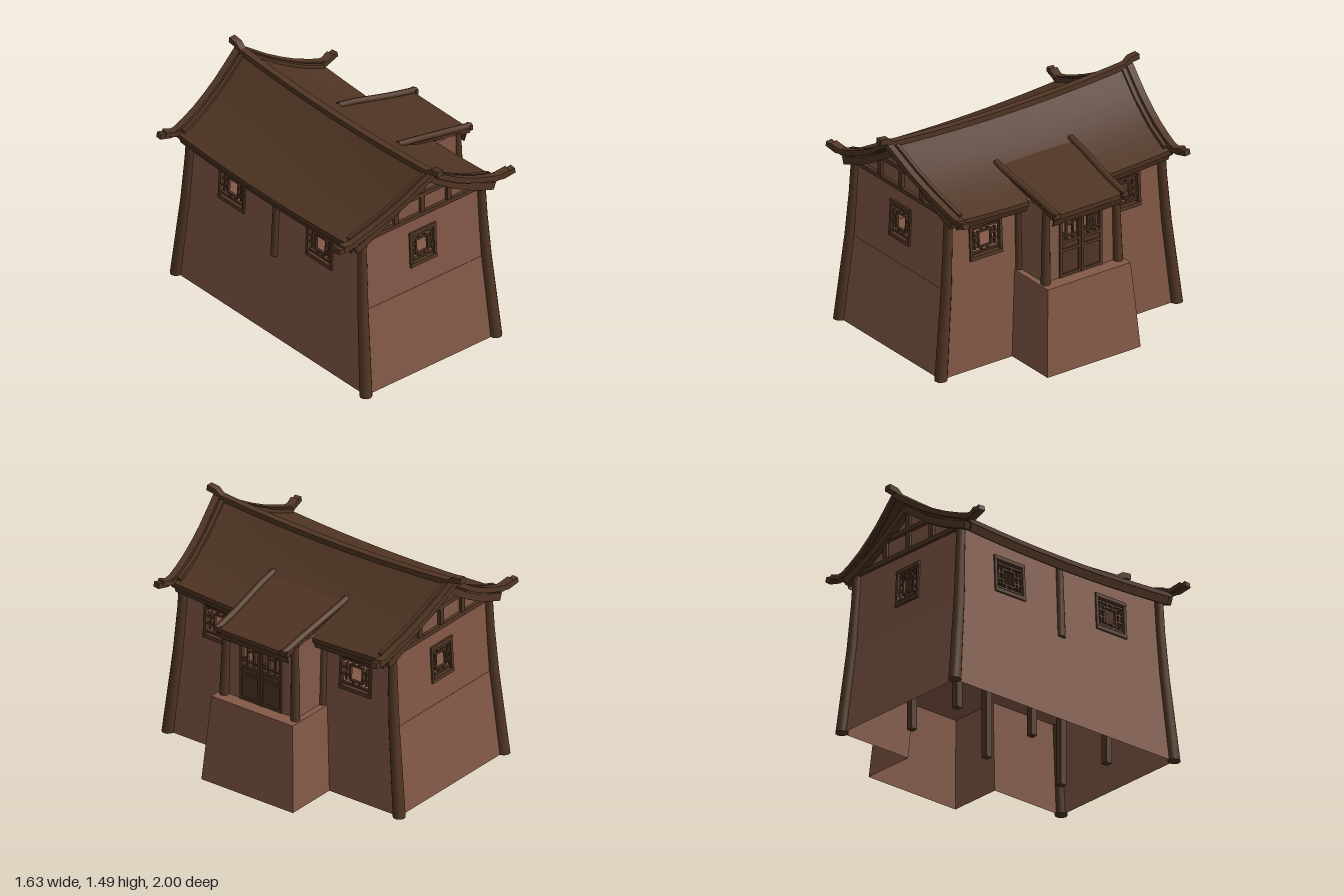
import * as THREE from 'three';
import { toCreasedNormals } from 'three/addons/utils/BufferGeometryUtils.js';

const CX = -0.09; // centre line of the main hall
const FLOOR = 0.58;
const V = (x, y, z) => new THREE.Vector3(x, y, z);

function material(name, color) {
  const m = new THREE.MeshStandardMaterial({ color, side: THREE.DoubleSide });
  m.name = name;
  return m;
}
const clay = material('clay wall', 0x835947);
const wood = material('dark timber', 0x513624);
const roofing = material('roof brown', 0x4f3423);

function add(parent, name, geo, mat, x = 0, y = 0, z = 0) {
  const mesh = new THREE.Mesh(geo, mat);
  mesh.name = name;
  mesh.position.set(x, y, z);
  parent.add(mesh);
  return mesh;
}
const box = (parent, name, w, h, d, x, y, z, mat = wood) =>
  add(parent, name, new THREE.BoxGeometry(w, h, d), mat, x, y, z);

// Joins equal-sized cross-sections; the ends are closed as strips
function loft(sections, caps = true) {
  const n = sections[0].length, last = (sections.length - 1) * n, idx = [];
  for (let s = 0; s < sections.length - 1; s++)
    for (let i = 0; i < n; i++) {
      const a = s * n + i, b = s * n + (i + 1) % n;
      idx.push(a, b, b + n, a, b + n, a + n);
    }
  if (caps)
    for (let i = 0; i < n / 2 - 1; i++) {
      const a = i, b = i + 1, c = n - 2 - i, d = n - 1 - i;
      idx.push(a, c, b, a, d, c, last + a, last + b, last + c, last + a, last + c, last + d);
    }
  const geo = new THREE.BufferGeometry().setFromPoints(sections.flat());
  geo.setIndex(idx);
  return toCreasedNormals(geo, 0.6);
}

// Rectangular beam along a path
function beam(path, w, h) {
  return loft(path.map((p, i) => {
    const t = path[Math.min(i + 1, path.length - 1)].clone().sub(path[Math.max(i - 1, 0)]).normalize();
    const side = t.clone().cross(V(0, 1, 0)).normalize();
    const up = side.clone().cross(t);
    return [[1, 1], [-1, 1], [-1, -1], [1, -1]].map(([a, b]) =>
      p.clone().addScaledVector(side, a * w / 2).addScaledVector(up, b * h / 2));
  }));
}

// Round post through centres with a radius at each
const post = (path, radii) => loft(path.map((p, i) => Array.from({ length: 12 }, (_, k) => {
  const a = -k * Math.PI / 6;
  return V(p.x + radii[i] * Math.cos(a), p.y, p.z + radii[i] * Math.sin(a));
})));

// Sagging roof: height by distance from the ridge, lifted towards the gables
const EAVE = 0.595;
const PROFILE = [1.395, 1.325, 1.257, 1.2, 1.15, 1.11, 1.075];
function roofY(d, z) {
  const f = Math.min(d, 0.6) * 10, i = Math.min(Math.floor(f), 5);
  return PROFILE[i] + (PROFILE[i + 1] - PROFILE[i]) * (f - i) + 0.035 * (z / 0.88) ** 2;
}
const roofEnd = d => 0.84 + 0.09 * Math.max(0, 1 - d / EAVE) ** 1.3;

// Wall leaning inwards, with rectangular openings [x, y, width, height]
function leaningWall(w0, w1, y1, dist, holes) {
  const shape = new THREE.Shape([[-w0, FLOOR], [w0, FLOOR], [w1, y1], [-w1, y1]].map(p => new THREE.Vector2(...p)));
  for (const [x, y, w, h] of holes)
    shape.holes.push(new THREE.Path([[-1, -1], [-1, 1], [1, 1], [1, -1]].map(([a, b]) =>
      new THREE.Vector2(x + a * w / 2, y + b * h / 2))));
  const geo = new THREE.ExtrudeGeometry(shape, { depth: 0.02, bevelEnabled: false });
  const p = geo.attributes.position;
  for (let i = 0; i < p.count; i++) p.setZ(i, p.getZ(i) + dist - 0.02 - 0.05 * (p.getY(i) - FLOOR));
  geo.computeVertexNormals();
  return geo;
}

function latticeWindow(w, h) {
  const g = new THREE.Group();
  g.name = 'latticeWindow';
  const bar = (bw, bh, x, y) => box(g, 'windowBar', bw, bh, 0.018, x, y, -0.005);
  for (const s of [-1, 1]) {
    box(g, 'windowRail', w, 0.026, 0.035, 0, s * (h / 2 - 0.013), 0);
    box(g, 'windowStile', 0.02, h, 0.03, s * (w / 2 - 0.01), 0, 0);
    bar(w, 0.012, 0, s * 0.082);
    bar(0.011, 0.11, s * 0.048, 0);
    bar(0.11, 0.011, 0, s * 0.052);
    bar(0.011, 0.12, s * 0.078, 0);
    for (const t of [-1, 1]) {
      bar(0.011, 0.035, s * 0.024, t * 0.068);
      bar(w / 2 - 0.05, 0.011, s * (w / 4 + 0.02), t * 0.024);
    }
  }
  return g;
}

function makeDoor() {
  const g = new THREE.Group();
  g.name = 'doubleDoor';
  for (const s of [-1, 1]) {
    const x = s * 0.083, part = (n, w, h, d, dx, y) => box(g, n, w, h, d, x + dx, y, 0);
    part('doorPanel', 0.16, 0.24, 0.012, 0, 0.7);
    for (const y of [0.592, 0.765, 0.82, 0.99]) part('doorRail', 0.16, 0.02, 0.03, 0, y);
    for (const e of [-1, 1]) {
      part('doorStile', 0.018, 0.42, 0.03, e * 0.072, 0.79);
      part('doorLattice', 0.01, 0.16, 0.018, e * 0.026, 0.91);
      part('doorLattice', 0.04, 0.01, 0.018, e * 0.045, 0.91 + e * 0.035);
    }
    part('doorLattice', 0.14, 0.01, 0.018, 0, 0.855);
    part('doorLattice', 0.05, 0.01, 0.018, 0, 0.93);
  }
  return g;
}

export function createModel() {
  const root = new THREE.Group();
  root.name = 'timberHouse';

  // Tapered base with the porch, open below, and its floor
  const outline = (x, z, px, pz) => [[CX - x, -z], [CX - x, z], [CX + x, z], [CX + x, pz],
    [px, pz], [px, -pz], [CX + x, -pz], [CX + x, -z]];
  const low = outline(0.53, 0.91, 0.81, 0.36), high = outline(0.5, 0.845, 0.76, 0.32);
  add(root, 'baseWall', loft([low.map(([x, z]) => V(x, 0, z)), high.map(([x, z]) => V(x, FLOOR, z))], false), clay);
  const floor = new THREE.ShapeGeometry(new THREE.Shape(high.map(([x, z]) => new THREE.Vector2(x, -z))));
  add(root, 'floor', floor.rotateX(-Math.PI / 2), clay, 0, FLOOR, 0);
  for (const x of [-0.315, 0.11]) for (const z of [-0.62, 0, 0.62])
    box(root, 'floorStilt', 0.045, FLOOR, 0.045, x, FLOOR / 2, z);

  // Upper walls and windows
  const sides = [
    ['front', 0, 0.5, 0.485, 0.843, [0], 0.215], ['back', Math.PI, 0.5, 0.485, 0.843, [0], 0.215],
    ['left', Math.PI / 2, 0.843, 0.818, 0.5, [-0.535, 0.535], 0.25],
    ['right', -Math.PI / 2, 0.843, 0.818, 0.5, [-0.42, 0.42], 0.25]];
  for (const [name, turn, w0, w1, dist, windows, ww] of sides) {
    const g = new THREE.Group();
    g.name = name + 'Side';
    g.position.x = CX;
    g.rotation.y = turn;
    root.add(g);
    add(g, 'upperWall', leaningWall(w0, w1, 1.09, dist, windows.map(x => [x, 0.86, ww - 0.01, 0.24])), clay);
    for (const x of windows) {
      const win = latticeWindow(ww, 0.25);
      win.position.set(x, 0.86, dist - 0.018);
      win.rotation.x = -0.05;
      g.add(win);
    }
    if (dist < 0.6) continue;
    // Gable infill and its timber frame
    const pts = [[-0.49, 1.08], [0.49, 1.08]];
    for (let i = 12; i >= -12; i--) pts.push([i * 0.49 / 12, roofY(Math.abs(i) * 0.49 / 12, 0.82) - 0.02]);
    const gable = new THREE.Shape(pts.map(p => new THREE.Vector2(...p)));
    add(g, 'gableInfill', new THREE.ExtrudeGeometry(gable, { depth: 0.015, bevelEnabled: false }), clay, 0, 0, 0.8);
    box(g, 'tieBeam', 0.97, 0.03, 0.035, 0, 1.093, 0.82);
    box(g, 'collarBeam', 0.5, 0.03, 0.035, 0, 1.236, 0.82);
    box(g, 'kingPost', 0.036, 0.29, 0.03, 0, 1.25, 0.82);
    for (const s of [-1, 1]) {
      box(g, 'gablePost', 0.036, 0.13, 0.03, s * 0.216, 1.16, 0.82);
      const rafter = [0, 0.12, 0.25, 0.38, 0.48, 0.565].map(d => V(s * d, roofY(d, 0.83) - 0.05, 0.835));
      add(g, 'rafter', beam(rafter, 0.05, 0.05), wood);
    }
  }

  // Corner columns
  for (const sx of [-1, 1]) for (const sz of [-1, 1])
    add(root, 'cornerColumn', post([[0.53, 0, 0.91], [0.502, 0.58, 0.85], [0.49, 0.88, 0.83], [0.485, 1.1, 0.82]]
      .map(([x, y, z]) => V(CX + sx * x, y, sz * z)), [0.041, 0.035, 0.031, 0.029]), wood);
  add(root, 'middlePost', post([V(CX - 0.5, FLOOR, 0), V(CX - 0.478, 1.07, 0)], [0.028, 0.025]), wood);

  // Main roof, one curved shell, with thin hanging eaves
  const steps = Array.from({ length: 13 }, (_, i) => -1 + i / 6);
  const across = Array.from({ length: 17 }, (_, i) => (i - 8) / 8 * EAVE);
  add(root, 'mainRoof', loft(steps.map(v => {
    const line = drop => across.map(x => {
      const d = Math.abs(x), z = v * roofEnd(d);
      return V(CX + x, roofY(d, z) - drop, z);
    });
    return [...line(0), ...line(0.03).reverse()];
  })), roofing);
  for (const s of [-1, 1]) {
    add(root, 'hangingEave', loft(steps.map(v => {
      const y = roofY(EAVE, v * 0.82);
      return [[EAVE, y - 0.005], [EAVE - 0.025, y - 0.075], [EAVE - 0.032, y - 0.075], [EAVE - 0.012, y - 0.005]]
        .map(([x, h]) => V(CX + s * x, h, v * 0.82));
    })), roofing);
    for (const sz of [-1, 1]) {
      // Verge rail sweeping out to an upturned tip
      const rail = [0, 0.1, 0.2, 0.3, 0.4, 0.5, 0.58].map(d => V(CX + s * d, roofY(d, 0.88) + 0.005, sz * roofEnd(d)));
      rail.push(V(CX + s * 0.64, 1.112, sz * 0.845), V(CX + s * 0.72, 1.13, sz * 0.855));
      add(root, 'vergeRail', beam(rail, 0.045, 0.035), wood);
      add(root, 'vergeTip', beam([V(CX + s * 0.55, 1.115, sz * 0.835), V(CX + s * 0.61, 1.115, sz * 0.835),
        V(CX + s * 0.68, 1.135, sz * 0.85)], 0.055, 0.032), wood);
      const inner = [0.02, 0.2, 0.4, 0.57].map(d => V(CX + s * d, roofY(d, 0.85) + 0.005, sz * (roofEnd(d) - 0.05)));
      add(root, 'innerVergeRail', beam(inner, 0.025, 0.03), wood);
    }
  }

  // Ridge and its stepped ends
  add(root, 'ridge', beam(steps.map(v => V(CX, roofY(0, v * 0.93), v * 0.93)), 0.045, 0.04), wood);
  for (const s of [-1, 1])
    add(root, 'ridgeEnd', beam([V(CX, 1.425, s * 0.87), V(CX, 1.438, s * 0.91), V(CX, 1.465, s * 0.94),
      V(CX, 1.472, s * 1)], 0.046, 0.038), wood);

  // Porch body: side walls, front wall, door and columns
  const front = new THREE.Group();
  front.name = 'porchFront';
  front.rotation.y = Math.PI / 2;
  root.add(front);
  for (const s of [-1, 1]) {
    box(root, 'porchSideWall', 0.27, 0.51, 0.015, 0.535, 0.835, s * 0.272, clay);
    box(front, 'porchFrontWall', 0.11, 0.51, 0.015, s * 0.22, 0.835, 0.66, clay);
    add(root, 'porchColumn', post([V(0.682, FLOOR, s * 0.28), V(0.675, 0.85, s * 0.274), V(0.672, 1.09, s * 0.267)],
      [0.031, 0.028, 0.024]), wood);
    add(root, 'porchWallPost', post([V(0.412, FLOOR, s * 0.285), V(0.395, 1.07, s * 0.28)], [0.026, 0.024]), wood);
  }
  box(front, 'doorLintel', 0.52, 0.08, 0.025, 0, 1.04, 0.66);
  const door = makeDoor();
  door.position.z = 0.662;
  front.add(door);

  // Porch roof with hanging eave and edge rails
  const slope = [[0.18, 1.212], [0.34, 1.175], [0.5, 1.138], [0.64, 1.105], [0.765, 1.078]];
  add(root, 'porchRoof', loft([-0.28, 0.28].map(z => [...slope.map(([x, y]) => V(x, y, z)),
    ...slope.map(([x, y]) => V(x, y - 0.03, z)).reverse()])), roofing);
  add(root, 'porchEave', loft([-0.265, 0.265].map(z => [[0.765, 1.075], [0.735, 0.995], [0.728, 0.995], [0.75, 1.075]]
    .map(([x, y]) => V(x, y, z)))), roofing);
  for (const s of [-1, 1]) {
    const curve = new THREE.CatmullRomCurve3([V(0.17, 1.222, s * 0.287), V(0.3, 1.196, s * 0.285),
      V(0.45, 1.16, s * 0.275), V(0.6, 1.125, s * 0.266), V(0.785, 1.085, s * 0.262)]);
    add(root, 'porchRail', new THREE.TubeGeometry(curve, 16, 0.021, 8), wood);
    box(root, 'porchRailEnd', 0.02, 0.035, 0.05, 0.775, 1.082, s * 0.262);
  }
  return root;
}
